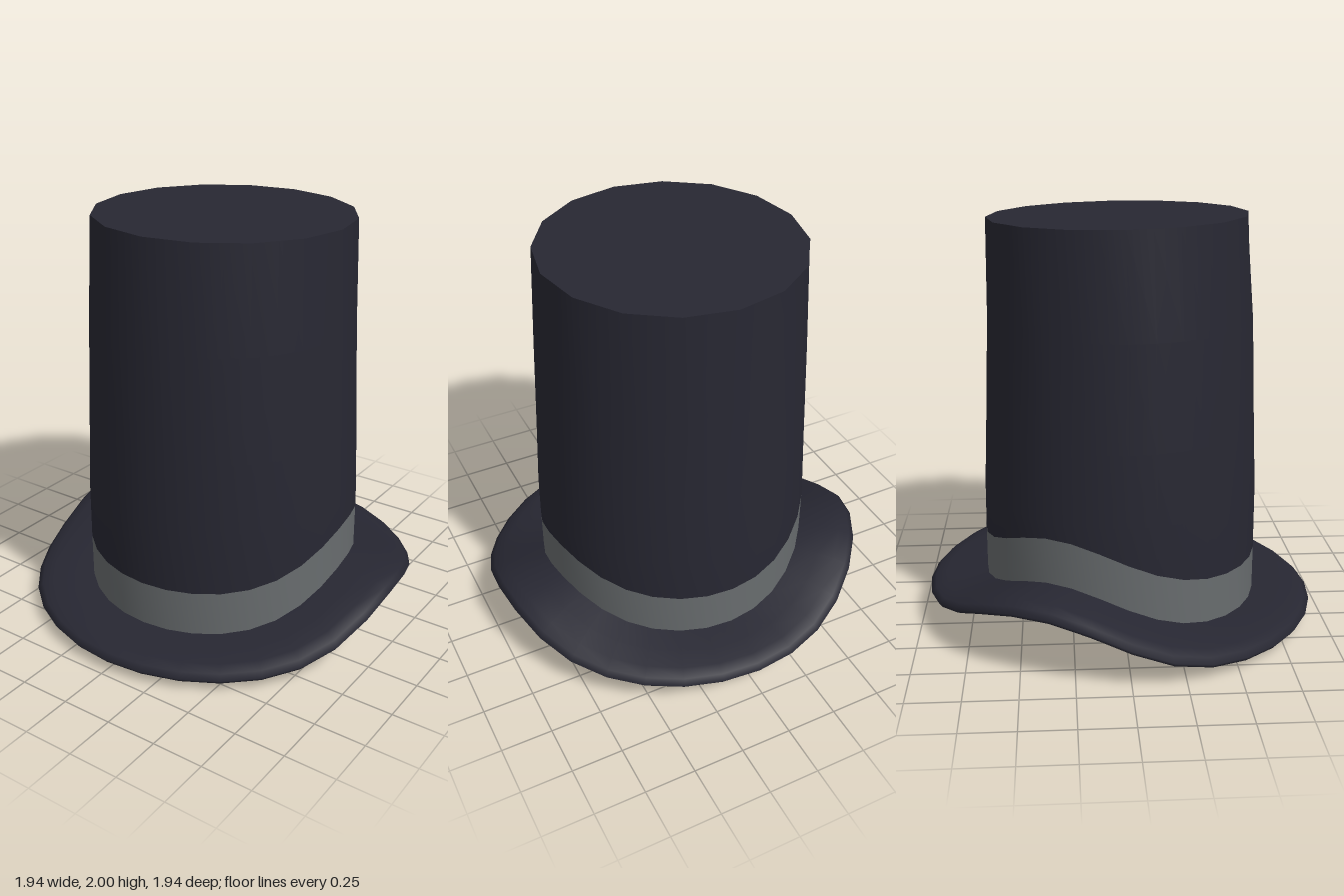
import * as THREE from 'three';

const SEG = 32;

// Joins rings of points into a smooth surface; each ring maps (angle, index) to [x, y, z].
function loft(rings) {
  const pos = [], idx = [];
  rings.forEach((ring, i) => {
    for (let j = 0; j < SEG; j++) {
      pos.push(...ring((j / SEG) * Math.PI * 2, j));
      if (i === rings.length - 1) continue;
      const k = (j + 1) % SEG;
      const a = i * SEG + j, b = i * SEG + k, c = a + SEG, d = b + SEG;
      idx.push(a, b, c, b, d, c);
    }
  });
  const g = new THREE.BufferGeometry();
  g.setAttribute('position', new THREE.Float32BufferAttribute(pos, 3));
  g.setIndex(idx);
  g.computeVertexNormals();
  return g;
}

// Height of the bent brim: a slightly skewed fold across the hat with a raised back corner.
function brimHeight(x, z) {
  const d = z - (-0.2 + 0.12 * x);
  const base = d > 0 ? 0.06 : 0.135;
  const fold = base + (0.275 - base) * Math.exp(-d * d / (d > 0 ? 0.213 : 0.14));
  const bump = 0.1 * Math.exp(-((x + 0.75) ** 2 + (z + 0.65) ** 2) / 0.15);
  return fold + bump;
}

// Ring that follows the bent brim, raised by dy
const bent = (r, dy) => (a) => {
  const x = r * Math.sin(a), z = r * Math.cos(a);
  return [x, brimHeight(x, z) + dy, z];
};

// Level ring of the crown wall
const level = (r, y) => (a) => [r * Math.sin(a), y, r * Math.cos(a)];

// Top rim: sixteen-sided, tilted slightly towards the back
const rim = (s) => (a, j) => {
  const r = s * 0.625 * (j % 2 ? Math.cos(Math.PI / 16) : 1);
  const z = r * Math.cos(a) - 0.012;
  return [r * Math.sin(a), 1.99 + 0.016 * z, z];
};

export function createModel() {
  const felt = new THREE.MeshStandardMaterial({ color: 0x272732, side: THREE.DoubleSide });
  felt.name = 'dark felt';
  const ribbon = new THREE.MeshStandardMaterial({ color: 0x686c6e, side: THREE.DoubleSide });
  ribbon.name = 'grey ribbon';

  const hat = new THREE.Group();
  hat.name = 'topHat';
  const add = (name, rings, material) => {
    const mesh = new THREE.Mesh(loft(rings), material);
    mesh.name = name;
    hat.add(mesh);
  };

  // Brim: rounded section from the inner underside, around the edge, to the inner top
  const section = [
    [0.68, -0.062], [0.8, -0.057], [0.91, -0.04], [0.955, -0.018], [0.97, 0.003],
    [0.945, 0.026], [0.89, 0.038], [0.8, 0.046], [0.68, 0.045],
  ];
  add('brim', section.map(([r, dy]) => bent(r, dy)), felt);

  // Band around the open base
  add('band', [bent(0.68, -0.06), bent(0.68, 0.1), bent(0.68, 0.265)], ribbon);

  // Tapering crown wall and flat top
  add('crown', [bent(0.68, 0.265), level(0.678, 0.66), level(0.663, 1.0),
    level(0.643, 1.5), rim(1)], felt);
  add('crownTop', [rim(1), rim(0.5), rim(0.001)], felt);

  return hat;
}
